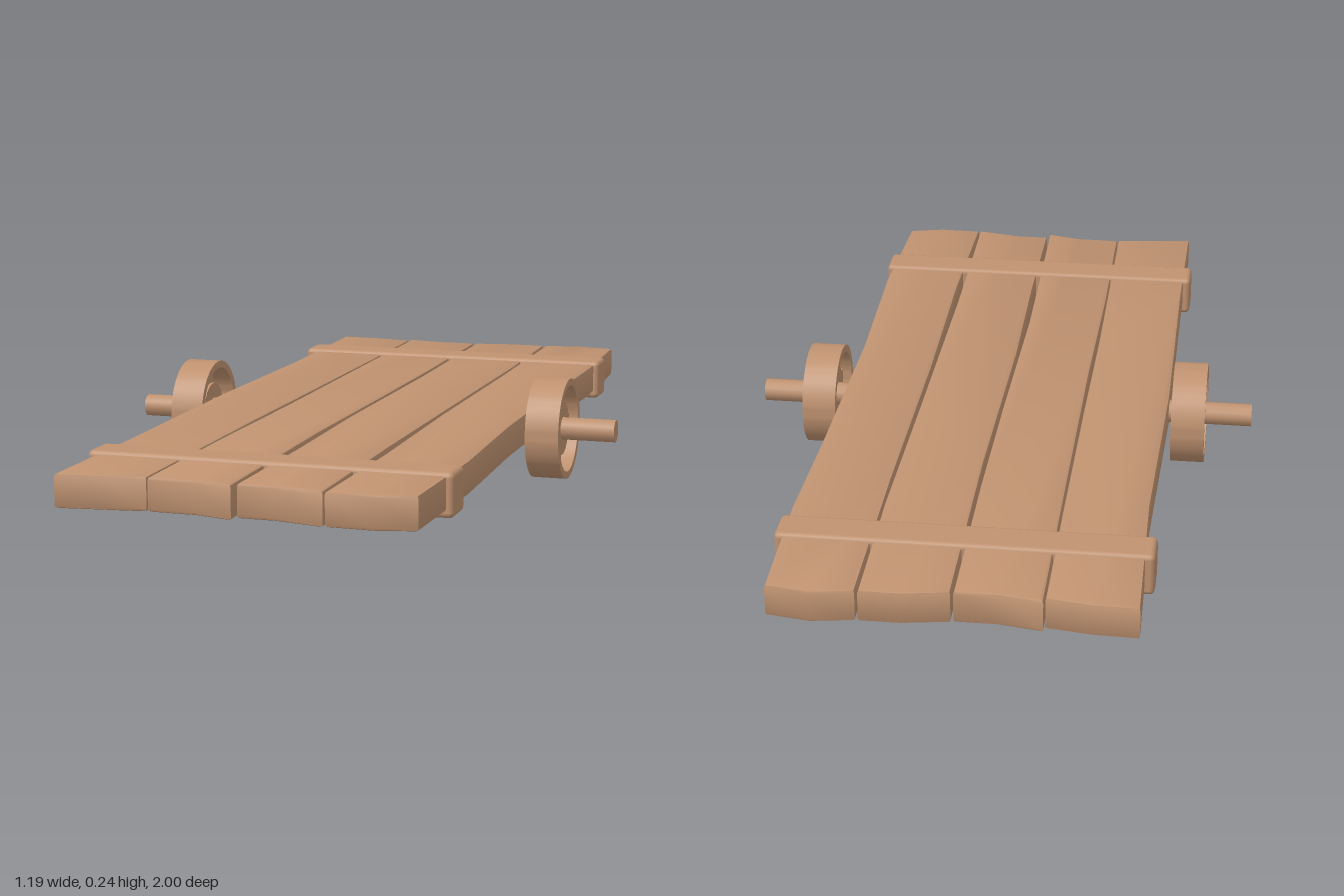
import * as THREE from 'three';
import { toCreasedNormals } from 'three/addons/utils/BufferGeometryUtils.js';
import { RoundedBoxGeometry } from 'three/addons/geometries/RoundedBoxGeometry.js';

const wood = new THREE.MeshStandardMaterial({ color: 0xbf9270 });
wood.name = 'wood';

function part(name, geometry, parent) {
  const mesh = new THREE.Mesh(geometry, wood);
  mesh.name = name;
  parent.add(mesh);
  return mesh;
}

// Extrude a flat outline, centred on its depth, keeping hard edges sharp
function slab(shape, depth, bevel = 0) {
  const g = new THREE.ExtrudeGeometry(shape, {
    depth: depth - 2 * bevel, curveSegments: 40, bevelEnabled: bevel > 0,
    bevelSize: bevel, bevelThickness: bevel, bevelOffset: -bevel, bevelSegments: 2,
  });
  g.translate(0, 0, -(depth - 2 * bevel) / 2);
  return toCreasedNormals(g, 0.6);
}

// Uneven board: back end, right edge, front end, left edge as [x, z] corners
const planks = [
  [[-0.397, -0.985], [-0.3, -0.983], [-0.2, -0.968], [-0.199, -0.6], [-0.2, -0.1], [-0.203, 0.3], [-0.2, 0.97],
    [-0.3, 0.983], [-0.397, 0.995], [-0.395, 0.6], [-0.4, 0], [-0.388, -0.55]],
  [[-0.197, -0.982], [-0.1, -0.966], [-0.008, -0.966], [-0.004, -0.5], [-0.006, -0.1], [-0.013, 0.4], [-0.005, 0.993],
    [-0.09, 0.972], [-0.197, 0.97], [-0.2, 0.55], [-0.195, 0.1], [-0.196, -0.5]],
  [[-0.002, -0.968], [0.1, -0.985], [0.19, -0.985], [0.196, -0.6], [0.192, -0.1], [0.189, 0.5], [0.193, 0.995],
    [0.08, 0.972], [0.001, 0.972], [0.002, 0.6], [-0.004, 0.2], [0.003, -0.4]],
  [[0.196, -0.985], [0.29, -1], [0.386, -0.985], [0.396, -0.65], [0.39, -0.35], [0.386, 0.2], [0.398, 0.62], [0.388, 0.975],
    [0.3, 0.996], [0.197, 0.993], [0.203, 0.6], [0.197, 0.1], [0.2, -0.5]],
];

function buildWheel() {
  const wheel = new THREE.Group();
  wheel.name = 'wheel';
  // Rim
  const ring = new THREE.Shape().absarc(0, 0, 0.12, 0, Math.PI * 2);
  ring.holes.push(new THREE.Path().absarc(0, 0, 0.103, 0, Math.PI * 2, true));
  part('rim', slab(ring, 0.08).rotateY(Math.PI / 2), wheel);
  // Hub
  part('hub', new THREE.CylinderGeometry(0.064, 0.064, 0.05, 32).rotateZ(Math.PI / 2), wheel);
  // Four flared spokes
  const outline = new THREE.Shape([[-0.013, 0.05], [0.013, 0.05], [0.02, 0.107], [-0.02, 0.107]]
    .map(([x, y]) => new THREE.Vector2(x, y)));
  for (let i = 0; i < 4; i++) {
    const spoke = part('spoke', slab(outline, 0.035).rotateY(Math.PI / 2), wheel);
    spoke.rotation.x = i * Math.PI / 2;
  }
  return wheel;
}

export function createModel() {
  const model = new THREE.Group();
  model.name = 'plankPlatform';

  // Deck boards
  for (const corners of planks) {
    const shape = new THREE.Shape(corners.map(([x, z]) => new THREE.Vector2(x, -z)).reverse());
    part('plank', slab(shape, 0.075, 0.007).rotateX(-Math.PI / 2), model).position.y = 0.122;
  }

  // Cross battens around the deck
  for (const z of [-0.74, 0.74]) {
    part('batten', new RoundedBoxGeometry(0.824, 0.098, 0.092, 2, 0.012), model).position.set(-0.003, 0.118, z);
  }

  // Wheels and axle ends
  for (const side of [-1, 1]) {
    const wheel = buildWheel();
    wheel.position.set(side * 0.445 - 0.004, 0.12, 0);
    model.add(wheel);
    const axle = part('axle', new THREE.CylinderGeometry(0.027, 0.027, 0.235, 12).rotateZ(Math.PI / 2), model);
    axle.position.set(side * 0.479 - 0.002, 0.12, 0);
  }
  return model;
}
